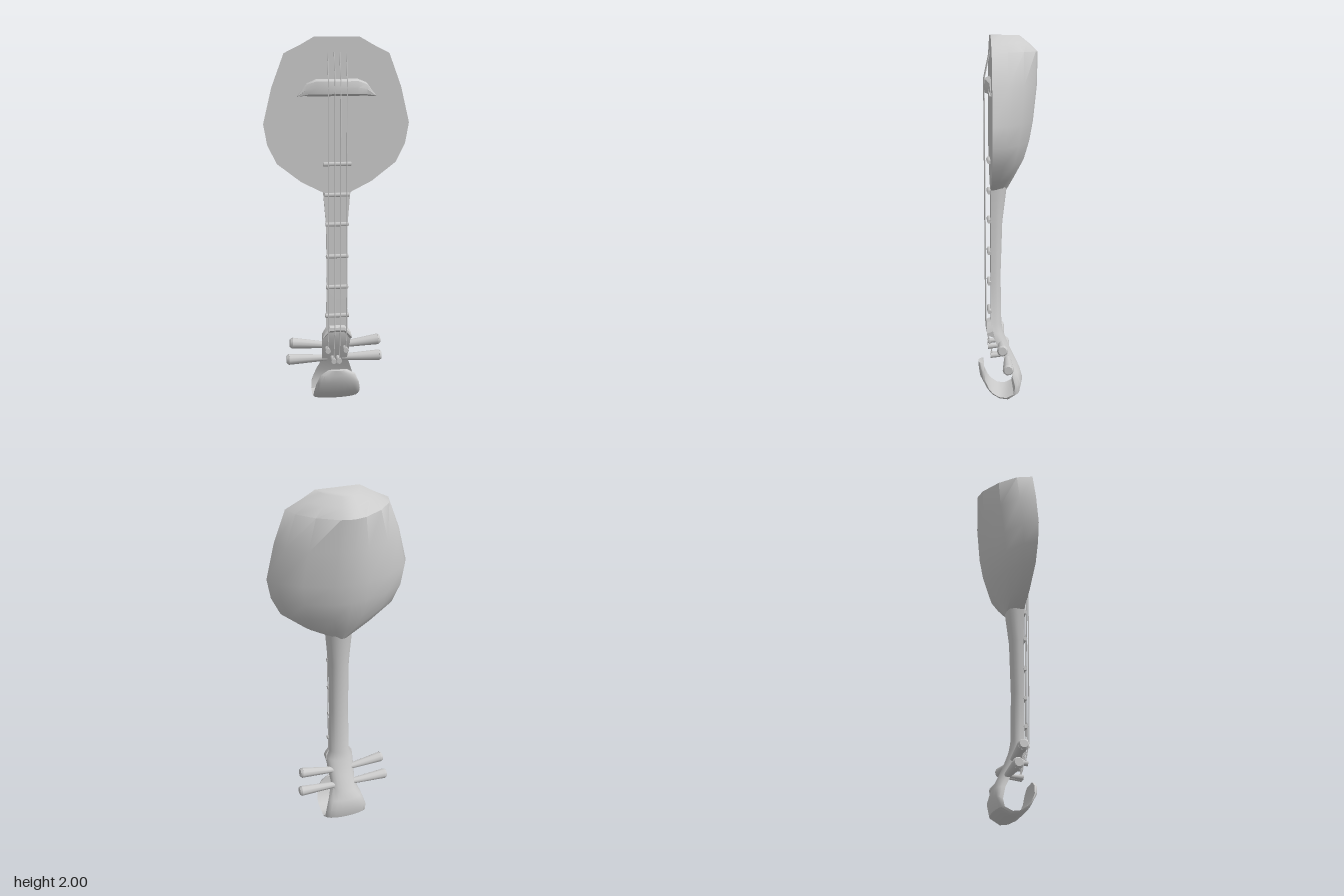
import * as THREE from 'three';
import { toCreasedNormals } from 'three/addons/utils/BufferGeometryUtils.js';

const material = new THREE.MeshStandardMaterial({ color: 0xcccccc });

// Closed skin over equal-sized rings of [x, y, z], capped at both ends and facing outwards
function loft(rings, crease = 0.75) {
  const n = rings[0].length, pts = rings.flat(), tris = [];
  for (let r = 0; r < rings.length - 1; r++)
    for (let i = 0; i < n; i++) {
      const a = r * n + i, b = r * n + (i + 1) % n;
      tris.push([a, b, b + n], [a, b + n, a + n]);
    }
  const last = (rings.length - 1) * n;
  for (let i = 1; i < n - 1; i++) tris.push([0, i + 1, i], [last, last + i, last + i + 1]);
  const v = pts.map(p => new THREE.Vector3(...p));
  const volume = tris.reduce((s, [a, b, c]) => s + v[a].dot(v[b].clone().cross(v[c])), 0);
  const index = tris.flatMap(([a, b, c]) => (volume < 0 ? [a, c, b] : [a, b, c]));
  const geo = new THREE.BufferGeometry();
  geo.setAttribute('position', new THREE.Float32BufferAttribute(pts.flat(), 3));
  geo.setIndex(index);
  return toCreasedNormals(geo, crease);
}

// Cylinder from a to b, radius ra at a and rb at b
function rod(a, b, ra, rb, sides) {
  const p = new THREE.Vector3(...a), q = new THREE.Vector3(...b), d = q.clone().sub(p);
  const geo = new THREE.CylinderGeometry(rb, ra, d.length(), sides);
  geo.applyQuaternion(new THREE.Quaternion().setFromUnitVectors(new THREE.Vector3(0, 1, 0), d.normalize()));
  const mid = p.add(q).multiplyScalar(0.5);
  return geo.translate(mid.x, mid.y, mid.z);
}

export function createModel() {
  const model = new THREE.Group();
  model.name = 'lute';
  const add = (name, geo) => {
    const mesh = new THREE.Mesh(geo, material);
    mesh.name = name;
    model.add(mesh);
  };

  // Bowl: flat soundboard, domed back; rows are [y, half width, depth]
  const section = [[1, 0], [0.9, 0.33], [0.62, 0.67], [0.24, 0.94], [0, 1], [-0.24, 0.94], [-0.62, 0.67], [-0.9, 0.33], [-1, 0]];
  const bowl = [
    [1.18, 0.07, 0.09], [1.24, 0.19, 0.125], [1.34, 0.32, 0.18], [1.44, 0.37, 0.21], [1.55, 0.39, 0.23],
    [1.74, 0.345, 0.25], [1.915, 0.28, 0.253], [1.96, 0.19, 0.205], [2, 0.12, 0.155],
  ];
  add('bowl', loft(bowl.map(([y, w, d]) => section.map(([sx, sz]) => [sx * w, y, 0.09 - sz * d])), 0.8));

  // Neck and scroll: half-round sweep; rows are [face y, face z, back y, back z, half width]
  const neck = [
    [1.2, 0.09, 1.2, 0, 0.075], [1.0, 0.09, 1.0, 0.025, 0.058], [0.7, 0.09, 0.7, 0.035, 0.055],
    [0.43, 0.09, 0.43, 0.031, 0.06], [0.39, 0.088, 0.38, 0.022, 0.08], [0.32, 0.058, 0.295, -0.01, 0.077],
    [0.24, 0.02, 0.2, -0.055, 0.07], [0.16, -0.022, 0.16, -0.072, 0.1], [0.09, -0.04, 0.112, -0.085, 0.122],
    [0.05, -0.032, 0.045, -0.07, 0.125], [0.03, 0.01, 0.005, -0.008, 0.125], [0.036, 0.05, 0.012, 0.038, 0.125],
    [0.06, 0.085, 0.03, 0.075, 0.128], [0.085, 0.105, 0.068, 0.113, 0.127],
    [0.13, 0.125, 0.14, 0.153, 0.118], [0.18, 0.13, 0.18, 0.159, 0.095], [0.207, 0.13, 0.207, 0.16, 0.05],
  ];
  add('neckAndScroll', loft(neck.map(([fy, fz, by, bz, w]) => Array.from({ length: 11 }, (_, i) => {
    const a = Math.PI * i / 10, t = i % 10 ? Math.sin(a) ** 0.8 : 0;
    return [w * Math.cos(a), fy + (by - fy) * t, fz + (bz - fz) * t];
  }))));

  // Bridge: faceted bar tapering to thin wing tips; rows are [x, top y, front z]
  const bridge = [[-0.21, 1.697, 0.1], [-0.16, 1.765, 0.106], [-0.11, 1.785, 0.122], [0, 1.783, 0.127],
    [0.11, 1.785, 0.122], [0.16, 1.765, 0.106], [0.21, 1.697, 0.1]];
  add('bridge', loft(bridge.map(([x, y, z]) => {
    const h = y - 1.69;
    return [[x, 1.69, 0.085], [x, 1.69 + h * 0.15, z - 0.004], [x, 1.69 + h * 0.5, z], [x, 1.69 + h * 0.85, z - 0.008], [x, y, 0.085]];
  }), 0.5));

  // Nut: arched wedge where the head bends back
  const nut = [[-0.08, 0.4, 0.36], [-0.065, 0.425, 0.37], [-0.04, 0.45, 0.395], [0.04, 0.45, 0.395], [0.065, 0.425, 0.37], [0.08, 0.4, 0.36]];
  add('nut', loft(nut.map(([x, top, low]) => [[x, low, 0.07], [x, (top + low) / 2, 0.114], [x, top - 0.012, 0.112], [x, top, 0.08]]), 0.4));

  // Frets
  [[1.335, 0.075], [1.17, 0.067], [1.01, 0.062], [0.835, 0.06], [0.665, 0.06], [0.505, 0.064]].forEach(([y, w]) =>
    add('fret', rod([-w, y, 0.098], [w, y, 0.098], 0.012, 0.012, 6)));

  // Strings with their posts
  [[-0.05, 0.305, 0.1], [-0.015, 0.24, 0.085], [0.015, 0.24, 0.085], [0.05, 0.305, 0.1]].forEach(([x, y, z]) => {
    const path = [[x, y, z - 0.005], [x, 0.425, 0.117], [x, 1.71, 0.122], [x, 1.775, 0.122], [x, 1.92, 0.091]];
    for (let i = 0; i < path.length - 1; i++) add('string', rod(path[i], path[i + 1], 0.003, 0.003, 5));
    add('stringPost', rod([x, y + 0.005, z - 0.07], [x, y, z + 0.008], 0.01, 0.015, 8));
  });

  // Tuning pegs, two on each side
  for (const s of [-1, 1]) {
    add('upperPeg', rod([s * 0.04, 0.318, 0.032], [s * 0.24, 0.34, 0.035], 0.017, 0.03, 10));
    add('upperPegEnd', rod([s * 0.24, 0.34, 0.035], [s * 0.252, 0.341, 0.035], 0.03, 0.022, 10));
    add('lowerPeg', rod([s * 0.04, 0.235, 0.0], [s * 0.255, 0.237, 0.005], 0.017, 0.03, 10));
    add('lowerPegEnd', rod([s * 0.255, 0.237, 0.005], [s * 0.267, 0.237, 0.005], 0.03, 0.022, 10));
  }
  return model;
}
